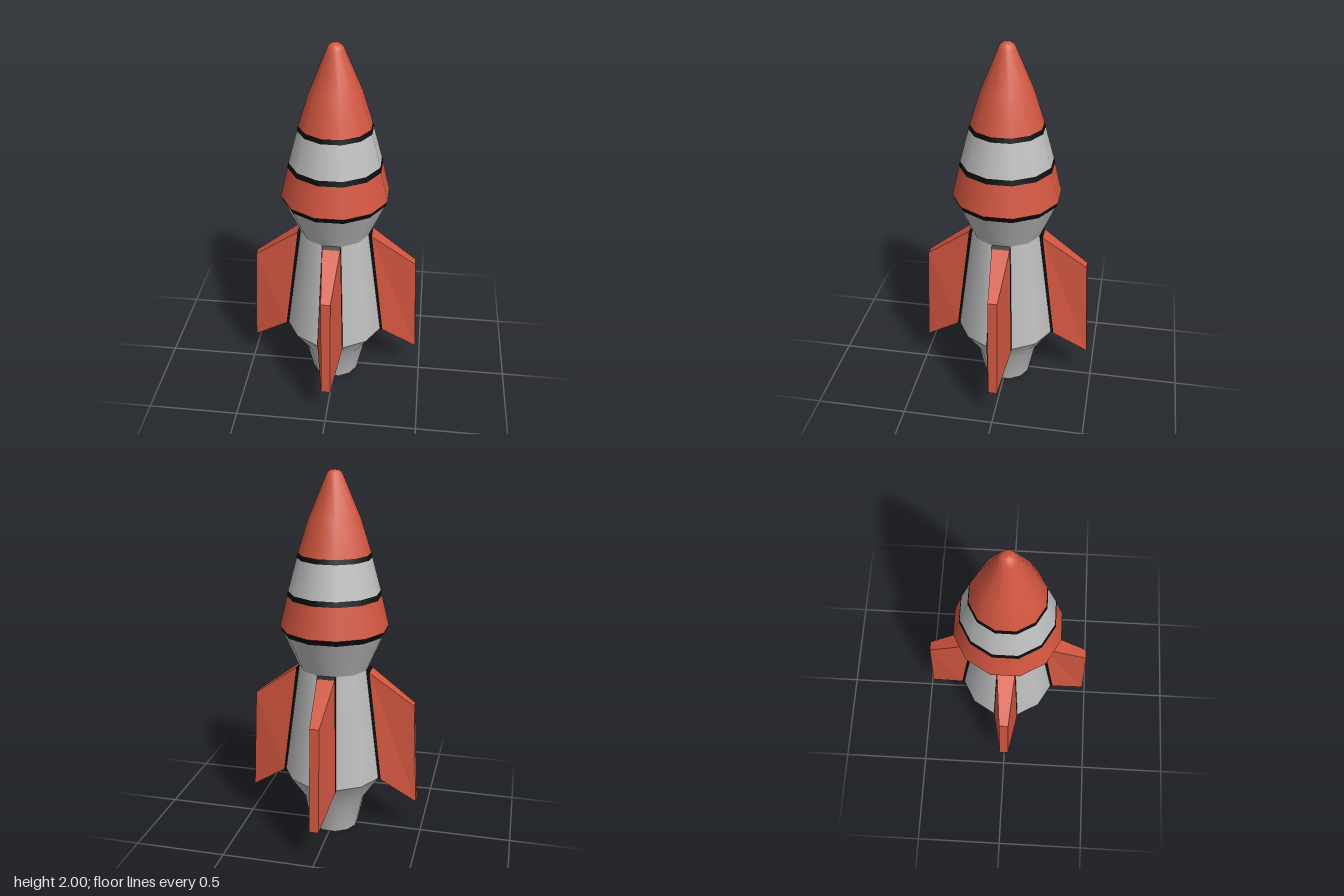
import * as THREE from 'three';

const SIDES = 12;
const HALF = Math.PI / SIDES;

export function createModel() {
  const make = (name, color) => {
    const m = new THREE.MeshStandardMaterial({ color });
    m.name = name;
    return m;
  };
  const red = make('red', 0xd25640);
  const grey = make('grey', 0xbebebe);
  const black = make('black', 0x0c0c0c);

  const rocket = new THREE.Group();
  rocket.name = 'rocket';

  // Twelve-sided shell; radii are measured to the middle of a flat side
  const shell = (name, material, profile) => {
    const points = profile.map(([r, y]) => new THREE.Vector2(r / Math.cos(HALF), y));
    const mesh = new THREE.Mesh(new THREE.LatheGeometry(points, SIDES, HALF), material);
    mesh.name = name;
    rocket.add(mesh);
  };

  // Engine nozzle with a hollow underneath
  shell('nozzleHollow', grey, [[0, 0.1], [0.06, 0.08], [0.085, 0]]);
  shell('nozzleRim', grey, [[0.085, 0], [0.13, 0]]);
  shell('nozzle', grey, [[0.13, 0], [0.17, 0.19], [0.265, 0.335]]);

  // Body and flared neck
  shell('body', grey, [[0.265, 0.335], [0.185, 0.955]]);
  shell('neck', grey, [[0.185, 0.955], [0.268, 1.15]]);

  // Striped nose cone
  shell('lowerBand', black, [[0.268, 1.15], [0.281, 1.18]]);
  shell('lowerStripe', red, [[0.281, 1.18], [0.243, 1.345]]);
  shell('middleBand', black, [[0.243, 1.345], [0.237, 1.373]]);
  shell('upperStripe', grey, [[0.237, 1.373], [0.191, 1.55]]);
  shell('upperBand', black, [[0.191, 1.55], [0.185, 1.575]]);
  shell('noseCone', red, [
    [0.185, 1.575], [0.132, 1.75], [0.045, 1.965], [0.036, 1.985], [0.02, 1.997], [0, 2],
  ]);

  // Fin section between root (t = 0) and outer edge (t = 1): four corners
  const mix = THREE.MathUtils.lerp;
  const section = (t) => {
    const bottom = [mix(0.265, 0.472, t), mix(0.335, 0.19, t), mix(0.071, 0.025, t)];
    const top = [mix(0.185, 0.445, t), mix(0.955, 0.765, t), mix(0.05, 0.025, t)];
    return [
      [-bottom[2], bottom[1], bottom[0]], [bottom[2], bottom[1], bottom[0]],
      [top[2], top[1], top[0]], [-top[2], top[1], top[0]],
    ];
  };
  const finSlab = (t0, t1, capped) => {
    const a = section(t0), b = section(t1), pos = [];
    const quad = (p, q, r, s) => pos.push(...p, ...q, ...r, ...p, ...r, ...s);
    for (let i = 0; i < 4; i++) {
      const j = (i + 1) % 4;
      quad(a[i], a[j], b[j], b[i]);
    }
    if (capped) quad(b[0], b[1], b[2], b[3]);
    const g = new THREE.BufferGeometry();
    g.setAttribute('position', new THREE.Float32BufferAttribute(pos, 3));
    g.computeVertexNormals();
    return g;
  };

  // Four tapered fins with black root strips
  const rootGeometry = finSlab(0, 0.07, false);
  const bladeGeometry = finSlab(0.07, 1, true);
  ['frontFin', 'leftFin', 'backFin', 'rightFin'].forEach((name, i) => {
    const fin = new THREE.Group();
    fin.name = name;
    const root = new THREE.Mesh(rootGeometry, black);
    root.name = 'finRoot';
    const blade = new THREE.Mesh(bladeGeometry, red);
    blade.name = 'finBlade';
    fin.add(root, blade);
    fin.rotation.y = i * Math.PI / 2;
    rocket.add(fin);
  });

  return rocket;
}
